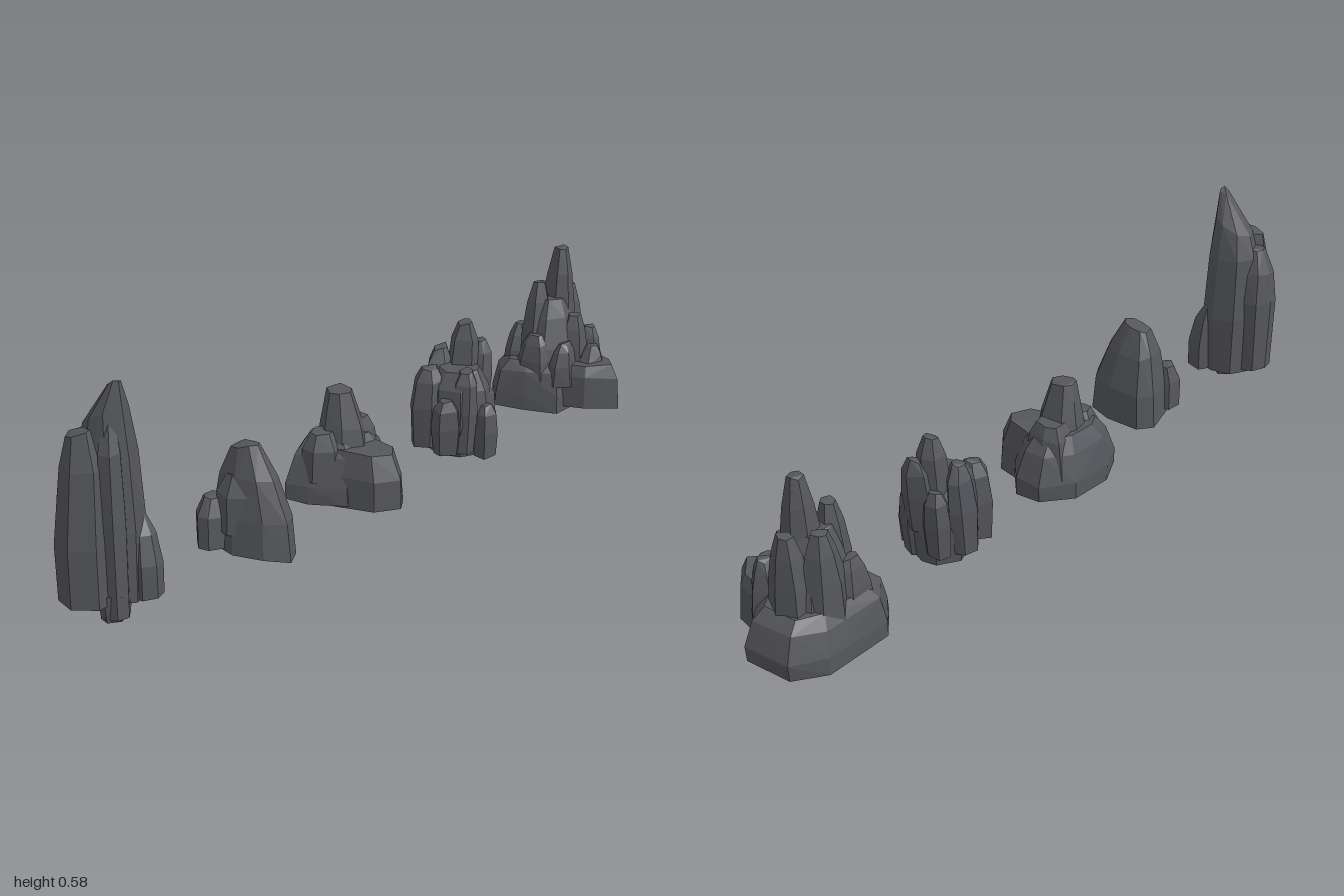
import * as THREE from 'three';
import { ConvexGeometry } from 'three/addons/geometries/ConvexGeometry.js';

const stone = new THREE.MeshStandardMaterial({ color: 0x56575c, flatShading: true });

// Seeded noise in 0..1
let seed = 7;
const rnd = () => (seed = (seed * 16807) % 2147483647) / 2147483647;

// Irregular n-sided footprint around (x, z)
function oval(x, z, rx, rz, n = 7) {
  const turn = rnd() * 6.28;
  return Array.from({ length: n }, (_, i) => {
    const a = turn + ((i + (rnd() - 0.5) * 0.45) / n) * Math.PI * 2;
    const r = 0.96 + rnd() * 0.12;
    return [x + Math.cos(a) * rx * r, z + Math.sin(a) * rz * r];
  });
}

// Faceted stone block: a footprint repeated at levels
// [y, scale, shiftX, shiftZ, slopeX, slopeZ] and wrapped in a hull
function chunk(parent, name, outline, levels) {
  const cx = outline.reduce((s, p) => s + p[0], 0) / outline.length;
  const cz = outline.reduce((s, p) => s + p[1], 0) / outline.length;
  const points = [];
  for (const [y, s, dx = 0, dz = 0, tx = 0, tz = 0] of levels) {
    for (const [px, pz] of outline) {
      const k = s * (0.96 + rnd() * 0.06);
      const ox = (px - cx) * k, oz = (pz - cz) * k;
      points.push(new THREE.Vector3(
        cx + dx + ox, y + tx * ox + tz * oz + (rnd() - 0.5) * 0.008, cz + dz + oz));
    }
  }
  const mesh = new THREE.Mesh(new ConvexGeometry(points), stone);
  mesh.name = name;
  parent.add(mesh);
}

// Tall pair of leaning columns
function tallSpire(g) {
  chunk(g, 'mainSpire', oval(-0.855, -0.045, 0.07, 0.077, 8),
    [[0.05, 0.9], [0.22, 1], [0.4, 0.9, -0.005, 0], [0.49, 0.68, -0.01, 0.005, 0, 0.5], [0.575, 0.2, -0.013, 0.042, 0, 0.5]]);
  chunk(g, 'sideColumn', oval(-0.94, -0.055, 0.056, 0.07),
    [[0.055, 1], [0.2, 1], [0.38, 0.8, 0.01], [0.46, 0.5, 0.015, -0.01, 0.2, 0.3]]);
  chunk(g, 'backColumn', oval(-0.89, -0.115, 0.06, 0.045),
    [[0.06, 0.9], [0.27, 1], [0.36, 0.8], [0.425, 0.4, 0, 0.01]]);
  chunk(g, 'frontButtress', oval(-0.815, 0.01, 0.044, 0.042, 6),
    [[0.05, 1], [0.13, 1], [0.2, 0.75, 0.003, -0.008], [0.25, 0.25, 0.006, -0.02]]);
  chunk(g, 'frontRib', oval(-0.895, 0.0, 0.035, 0.03, 6),
    [[0.02, 0.9], [0.25, 1], [0.42, 0.8], [0.5, 0.4, 0.01, -0.01]]);
  chunk(g, 'rootStub', oval(-0.89, -0.01, 0.038, 0.033, 6),
    [[0.012, 0.9, 0, 0, 0, 0.2], [0.08, 1.1]]);
}

// Single blunt boulder with a low step on one side
function stepBoulder(g) {
  chunk(g, 'boulder',
    [[-0.53, -0.07], [-0.44, -0.09], [-0.4, -0.06], [-0.4, 0.04], [-0.425, 0.11], [-0.475, 0.14], [-0.525, 0.1], [-0.55, 0.02]],
    [[0.045, 1, 0, 0, -0.1], [0.14, 0.95, 0.002, -0.002], [0.24, 0.68, -0.004, -0.01], [0.31, 0.34, -0.008, -0.02, 0, 0.15]]);
  chunk(g, 'sideStep', oval(-0.545, -0.05, 0.044, 0.04, 6),
    [[0.06, 1], [0.14, 0.97], [0.185, 0.6, 0.008]]);
  chunk(g, 'upperStep', oval(-0.515, 0, 0.037, 0.05, 6),
    [[0.1, 1.1], [0.2, 1], [0.245, 0.55, 0.008]]);
}

// Broad wedge-shaped base with a stubby crown
function crownRock(g) {
  chunk(g, 'broadBase',
    [[-0.22, -0.12], [-0.145, -0.155], [-0.016, -0.15], [0.06, -0.09], [0.06, -0.015], [0, 0.04], [-0.15, 0.03], [-0.2, -0.06]],
    [[0.045, 1], [0.09, 1], [0.165, 0.84], [0.205, 0.6]]);
  chunk(g, 'frontProw',
    [[-0.16, -0.02], [0.01, -0.02], [-0.016, 0.1], [-0.065, 0.135], [-0.13, 0.1]],
    [[0.04, 1], [0.12, 0.96], [0.185, 0.75, 0, -0.01]]);
  chunk(g, 'leftShoulder', oval(-0.14, -0.06, 0.055, 0.055, 6),
    [[0.1, 1.1], [0.185, 0.95], [0.225, 0.55]]);
  chunk(g, 'rightShoulder', oval(-0.025, -0.06, 0.052, 0.065, 6),
    [[0.1, 1.2], [0.2, 0.9], [0.235, 0.6]]);
  chunk(g, 'crown', oval(-0.08, -0.05, 0.065, 0.065, 7),
    [[0.12, 1.2], [0.23, 0.9], [0.28, 0.7, -0.003], [0.325, 0.52, -0.006]]);
}

// Tight cluster of upright blocks
function clusterRock(g) {
  chunk(g, 'core', oval(0.365, -0.02, 0.085, 0.09, 8),
    [[0.035, 0.85], [0.13, 1], [0.22, 0.9], [0.27, 0.6]]);
  const blocks = [
    // x, z, rx, rz, bottom, top, lean
    [0.285, -0.07, 0.045, 0.05, 0.06, 0.275, 0.005],
    [0.28, 0.0, 0.038, 0.042, 0.05, 0.2, 0],
    [0.335, 0.02, 0.042, 0.042, 0.05, 0.275, 0.005],
    [0.37, 0.065, 0.036, 0.036, 0.035, 0.18, 0],
    [0.395, -0.04, 0.044, 0.044, 0.1, 0.38, 0.008],
    [0.355, -0.09, 0.05, 0.04, 0.06, 0.31, 0.01],
    [0.435, -0.02, 0.033, 0.042, 0.13, 0.325, 0.008],
    [0.41, 0.01, 0.035, 0.045, 0.04, 0.22, 0.006],
    [0.425, -0.07, 0.035, 0.035, 0.07, 0.25, 0.004],
  ];
  blocks.forEach(([x, z, rx, rz, y0, y1, lean], i) => {
    const h = y1 - y0;
    chunk(g, 'block' + (i + 1), oval(x, z, rx, rz, 6),
      [[y0, 0.85, -lean], [y0 + h * 0.5, 1], [y0 + h * 0.84, 0.85, lean], [y1, 0.45, lean, 0, 0.2]]);
  });
}

// Castle-like stack of shards on a wide triangular base
function stackedRock(g) {
  chunk(g, 'wideBase',
    [[0.65, -0.12], [0.72, -0.18], [0.91, -0.18], [0.99, -0.13], [1.0, 0], [0.92, 0.05], [0.72, 0.05], [0.675, -0.04]],
    [[0.05, 1], [0.09, 0.99], [0.155, 0.9], [0.185, 0.72]]);
  chunk(g, 'frontProw',
    [[0.73, -0.02], [0.94, -0.02], [0.9, 0.12], [0.84, 0.178], [0.765, 0.11]],
    [[0.06, 1], [0.15, 0.92], [0.182, 0.75]]);
  chunk(g, 'stackBody', oval(0.825, -0.055, 0.105, 0.09, 9),
    [[0.12, 1.15], [0.22, 0.95], [0.3, 0.72], [0.35, 0.5]]);
  const shards = [
    // x, z, rx, rz, top
    [0.845, -0.045, 0.052, 0.05, 0.49],
    [0.775, -0.07, 0.045, 0.045, 0.4],
    [0.905, -0.065, 0.042, 0.055, 0.37],
    [0.85, -0.115, 0.055, 0.045, 0.37],
    [0.735, -0.045, 0.042, 0.05, 0.26],
    [0.83, 0.02, 0.048, 0.045, 0.31],
    [0.77, 0.03, 0.045, 0.04, 0.24],
    [0.89, 0.03, 0.04, 0.04, 0.26],
    [0.84, 0.075, 0.048, 0.038, 0.225],
    [0.77, -0.12, 0.05, 0.04, 0.27],
  ];
  shards.forEach(([x, z, rx, rz, top], i) => {
    const h = top - 0.12;
    chunk(g, 'shard' + (i + 1), oval(x, z, rx, rz, 6),
      [[0.12, 1.15], [0.12 + h * 0.5, 0.98], [0.12 + h * 0.8, 0.72, 0.003], [top, 0.4, 0.005]]);
  });
}

export function createModel() {
  const model = new THREE.Group();
  model.name = 'rockSet';
  for (const build of [tallSpire, stepBoulder, crownRock, clusterRock, stackedRock]) {
    const rock = new THREE.Group();
    rock.name = build.name;
    build(rock);
    model.add(rock);
  }
  return model;
}
